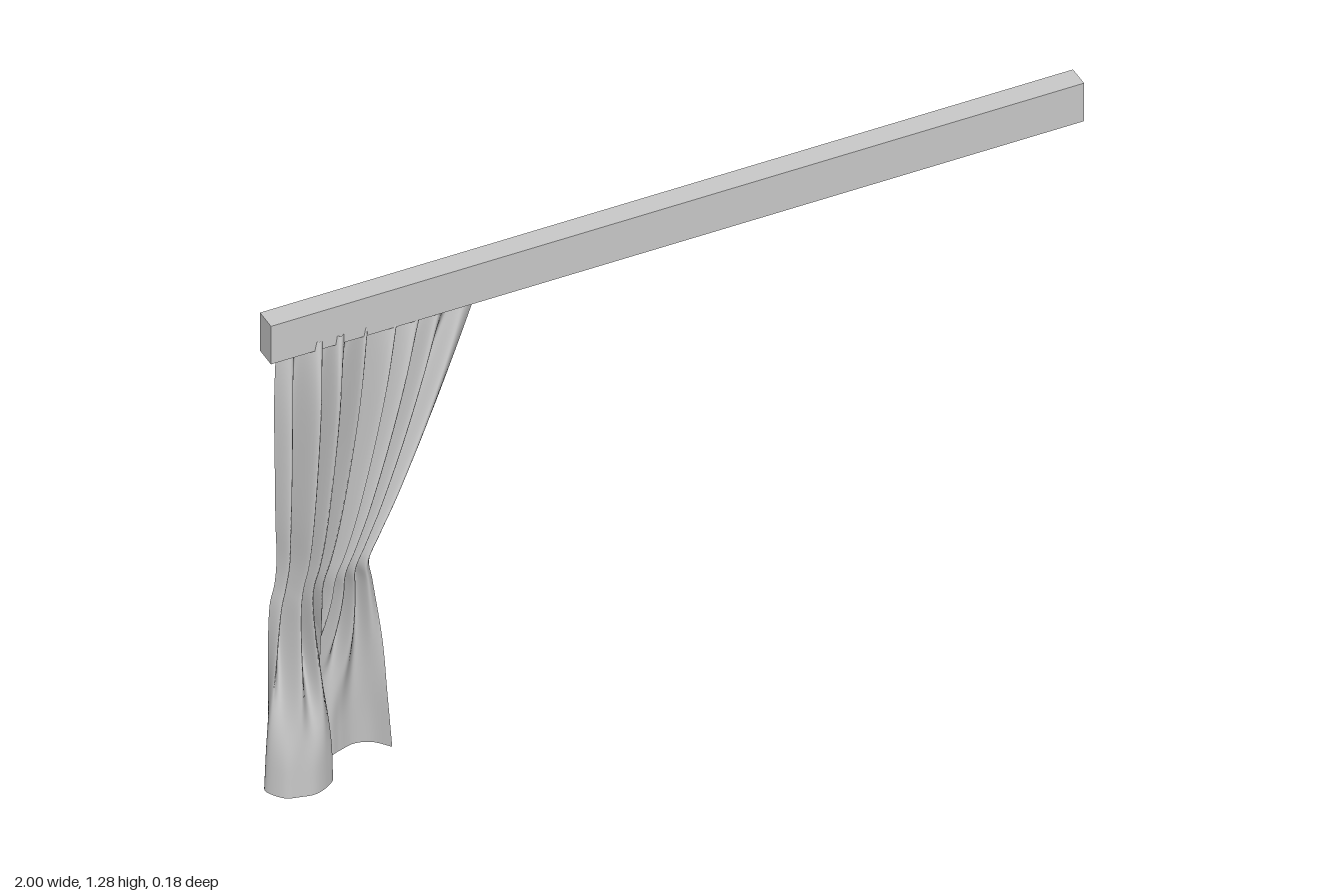
import * as THREE from 'three';

// Height, left edge, right edge, back depth, front depth of the cloth
const ROWS = [
  [1.21, -0.965, -0.475, -0.008, 0.04],
  [1.05, -0.965, -0.53, -0.042, 0.068],
  [0.88, -0.963, -0.595, -0.05, 0.077],
  [0.72, -0.962, -0.665, -0.05, 0.081],
  [0.62, -0.96, -0.712, -0.042, 0.073],
  [0.55, -0.965, -0.738, -0.036, 0.062],
  [0.48, -0.977, -0.728, -0.05, 0.068],
  [0.32, -0.99, -0.708, -0.06, 0.086],
  [0.16, -0.997, -0.695, -0.072, 0.089],
  [0.006, -1.0, -0.68, -0.088, 0.088],
];

// Fold outlines seen from above, as fractions of width and depth
const PLEAT_DEPTHS = [0.4, 0.7, 0.25, 0.95, 0.3, 1, 0.1, 0.9, 0, 0.85, 0.05, 0.8, 0.2, 0.75, 0.3, 0.65, 0.5];
const HEM_FOLDS = [
  [0.05, 0.5], [0, 0.67], [0.08, 0.9], [0.19, 0.97], [0.3, 1], [0.41, 0.92],
  [0.48, 0.78], [0.4, 0.5], [0.28, 0.39], [0.23, 0.24], [0.34, 0], [0.47, 0.1],
  [0.56, 0.36], [0.66, 0.33], [0.78, 0.28], [0.9, 0.35], [1, 0.55],
];

function createCurtainGeometry() {
  const across = 128, down = 56;
  const column = (a, b) => new THREE.CatmullRomCurve3(
    ROWS.map(r => new THREE.Vector3(r[a], r[0], r[b])), false, 'catmullrom');
  const widths = column(1, 2), depths = column(3, 4);
  const pleats = new THREE.SplineCurve(PLEAT_DEPTHS.map((d, i) =>
    new THREE.Vector2(i / 16 + 0.02 * Math.sin(i * 2.3) * Math.sin(Math.PI * i / 16), d)));
  const hem = new THREE.SplineCurve(HEM_FOLDS.map(p => new THREE.Vector2(...p)));

  const geometry = new THREE.PlaneGeometry(1, 1, across, down);
  const position = geometry.attributes.position;
  for (let j = 0; j <= down; j++) {
    const w = widths.getPoint(j / down), d = depths.getPoint(j / down);
    // Many pleats above the gather open into a few broad folds at the hem
    const open = 1 - THREE.MathUtils.smoothstep(w.y, 0.08, 0.6);
    for (let i = 0; i <= across; i++) {
      const fold = pleats.getPoint(i / across).lerp(hem.getPoint(i / across), open);
      position.setXYZ(j * (across + 1) + i,
        THREE.MathUtils.lerp(w.x, w.z, fold.x),
        w.y,
        THREE.MathUtils.lerp(d.x, d.z, fold.y));
    }
  }
  geometry.computeVertexNormals();
  return geometry;
}

export function createModel() {
  const group = new THREE.Group();
  group.name = 'curtainOnRail';

  // Straight box rail
  const rail = new THREE.Mesh(
    new THREE.BoxGeometry(1.985, 0.105, 0.055),
    new THREE.MeshStandardMaterial({ color: 0xcccccc }));
  rail.name = 'rail';
  rail.position.set(0.004, 1.238, 0.007);
  group.add(rail);

  // Gathered cloth at one end
  const curtain = new THREE.Mesh(
    createCurtainGeometry(),
    new THREE.MeshStandardMaterial({ color: 0xcccccc, side: THREE.DoubleSide }));
  curtain.name = 'curtain';
  group.add(curtain);

  return group;
}
